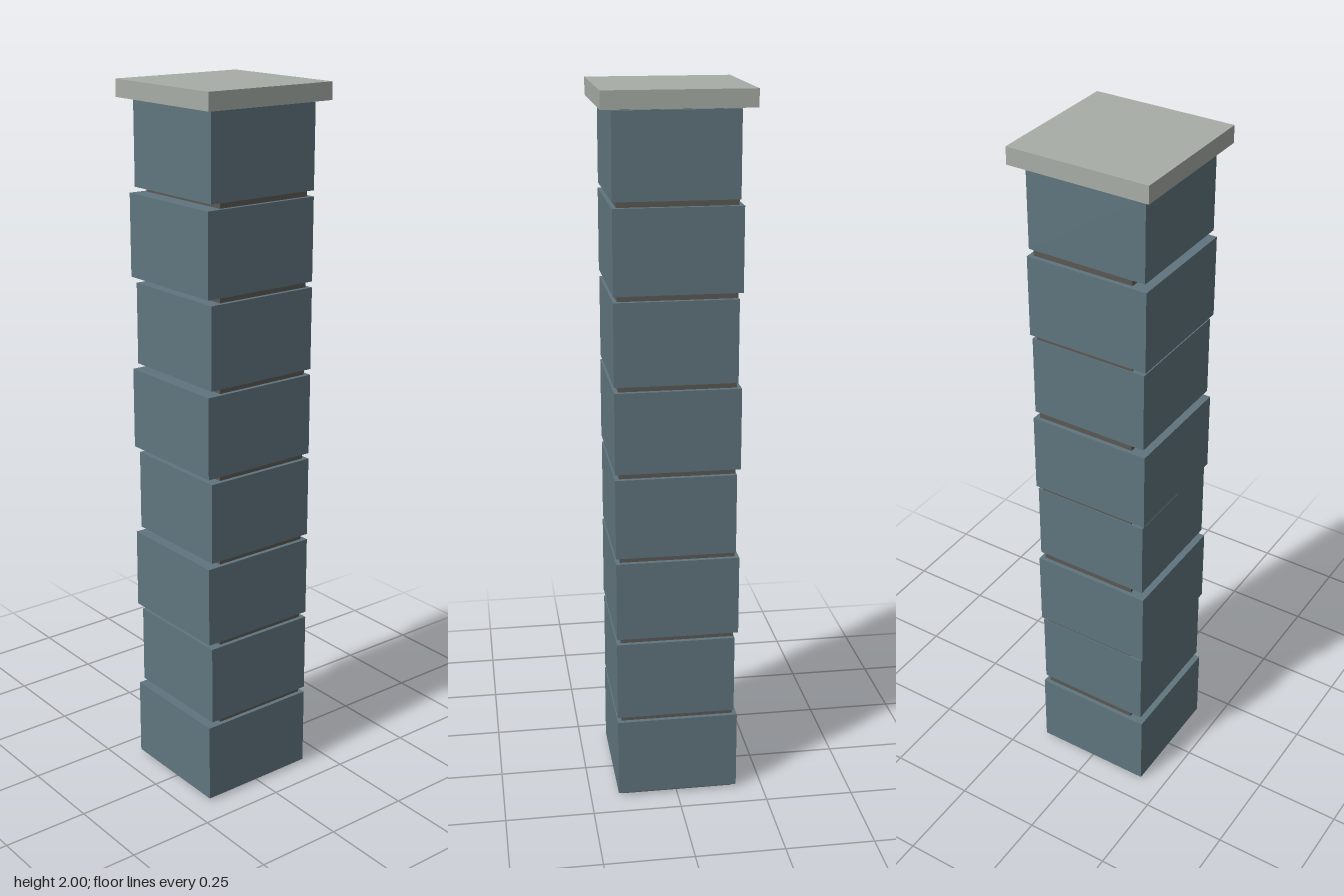
import * as THREE from 'three';

const material = (name, color) => {
  const m = new THREE.MeshStandardMaterial({ color });
  m.name = name;
  return m;
};

// Box given by its lower and upper corners
function slab(name, mat, [x0, y0, z0], [x1, y1, z1]) {
  const mesh = new THREE.Mesh(new THREE.BoxGeometry(x1 - x0, y1 - y0, z1 - z0), mat);
  mesh.position.set((x0 + x1) / 2, (y0 + y1) / 2, (z0 + z1) / 2);
  mesh.name = name;
  return mesh;
}

export function createModel() {
  const pillar = new THREE.Group();
  pillar.name = 'stonePillar';
  const stone = material('blue grey stone', 0x60757e);
  const capStone = material('pale cap stone', 0xa7ada6);
  const mortar = material('dark mortar', 0x5b5954);

  // Recessed mortar core, seen in the joints
  pillar.add(slab('mortarCore', mortar, [-0.162, 0, -0.157], [0.158, 1.953, 0.133]));

  // Stacked blocks; every other one is slightly wider to the right and front
  const pitch = 0.2443, height = 0.228;
  for (let i = 0; i < 8; i++) {
    const wide = i % 2 === 0;
    const y = 0.01 + i * pitch;
    pillar.add(slab(`stoneBlock${i + 1}`, stone,
      [wide ? -0.174 : -0.164, y, -0.17],
      [0.17, y + height, wide ? 0.18 : 0.17]));
  }

  // Overhanging cap
  pillar.add(slab('capSlab', capStone, [-0.2, 1.953, -0.2], [0.2, 2, 0.2]));
  return pillar;
}
